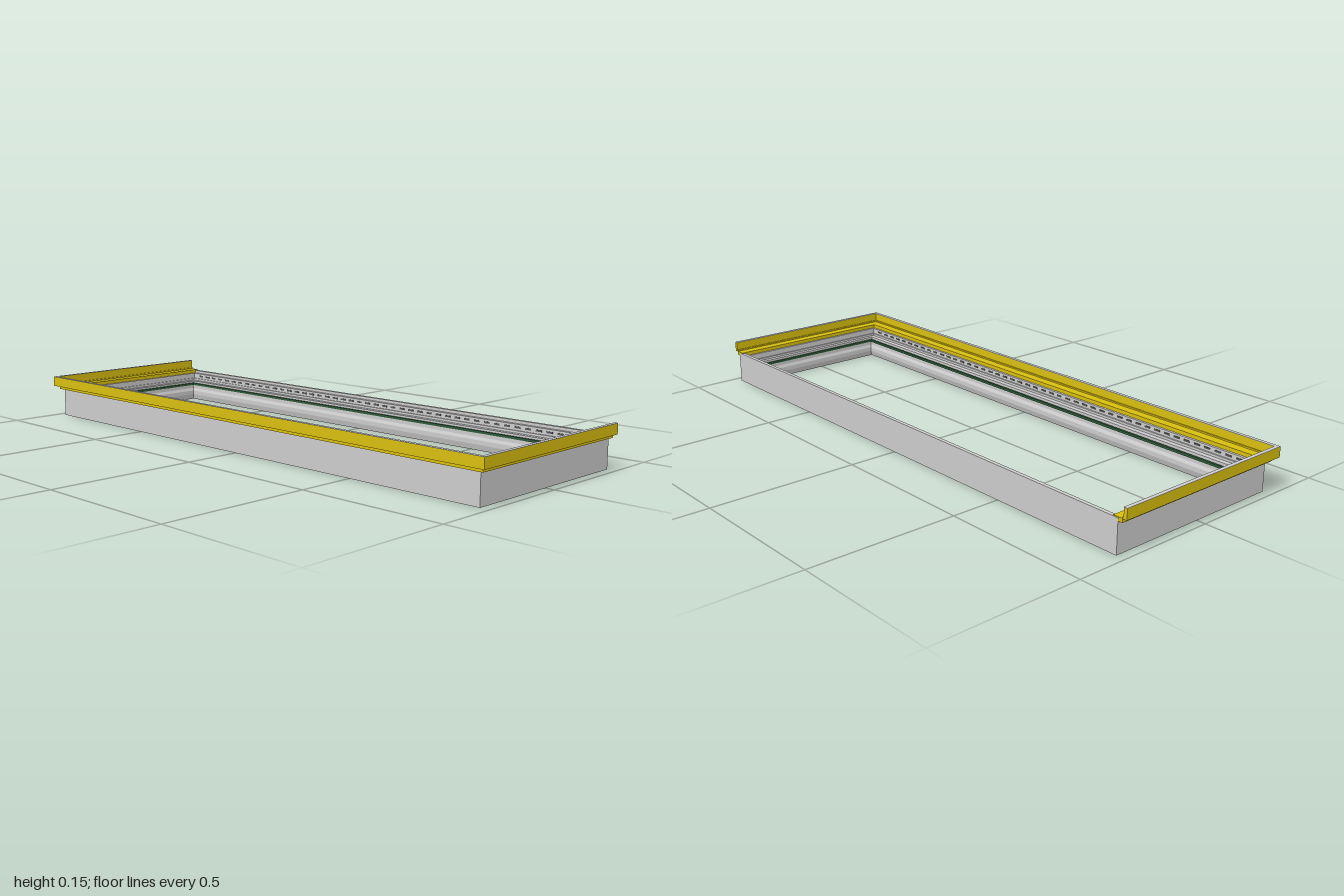
import * as THREE from 'three';

const grey = new THREE.MeshStandardMaterial({ color: 0xcccccc, flatShading: true, side: THREE.DoubleSide });
const yellow = new THREE.MeshStandardMaterial({ color: 0xd8be10, flatShading: true, side: THREE.DoubleSide });
const green = new THREE.MeshStandardMaterial({ color: 0x2f5a38, flatShading: true });
const dark = new THREE.MeshStandardMaterial({ color: 0x555555, flatShading: true });

// Sweep a closed profile through mitred corners; corner(i, u) gives [x, z].
function sweep(name, profile, corner, closed, material) {
  const pos = [];
  const point = (i, j) => {
    const [u, y] = profile[j % profile.length];
    const [x, z] = corner(i % 4, u);
    return [x, y, z];
  };
  for (let i = 0; i < (closed ? 4 : 3); i++) {
    for (let j = 0; j < profile.length; j++) {
      const a = point(i, j), b = point(i + 1, j), c = point(i + 1, j + 1), d = point(i, j + 1);
      pos.push(...a, ...b, ...c, ...a, ...c, ...d);
    }
  }
  // End caps of an open run
  if (!closed) {
    const faces = THREE.ShapeUtils.triangulateShape(profile.map(p => new THREE.Vector2(...p)), []);
    for (const i of [0, 3]) for (const f of faces) for (const j of f) pos.push(...point(i, j));
  }
  const geo = new THREE.BufferGeometry();
  geo.setAttribute('position', new THREE.Float32BufferAttribute(pos, 3));
  geo.computeVertexNormals();
  const mesh = new THREE.Mesh(geo, material);
  mesh.name = name;
  return mesh;
}

// Frame corners: u runs from 0 at the outer wall to 1 at the opening.
const frameCorner = (i, u) => [
  (i < 2 ? -1 : 1) * (0.97 - 0.06 * u),
  i === 1 || i === 2 ? 0.307 - 0.071 * u : -0.333 + 0.06 * u,
];
// Trim corners: u is the distance outward from the frame wall, open at the back.
const trimCorner = (i, u) => [
  (i < 2 ? -1 : 1) * (0.97 + u),
  i === 1 || i === 2 ? 0.304 + u : -0.332,
];

export function createModel() {
  const group = new THREE.Group();
  group.name = 'frameWithTrim';

  // Stepped frame with a sloped inner lip
  group.add(sweep('frame', [
    [0.9, 0], [0, 0], [0, 0.11], [0.22, 0.11], [0.22, 0.1], [0.42, 0.1], [0.42, 0.08],
    [0.5, 0.08], [0.5, 0.072], [0.76, 0.072], [0.76, 0.06], [0.92, 0.06], [0.92, 0.045], [1, 0.035], [1, 0.02],
  ], frameCorner, true, grey));

  // Gasket around the opening
  group.add(sweep('gasket', [
    [0.98, 0.058], [0.86, 0.058], [0.86, 0.066], [0.98, 0.066],
  ], frameCorner, true, green));

  // Three-sided trim: flat ledge, upright and its cap
  group.add(sweep('trimLedge', [
    [-0.018, 0.1], [0.015, 0.1], [0.015, 0.113], [-0.018, 0.113],
  ], trimCorner, false, yellow));
  group.add(sweep('trimUpright', [
    [0.014, 0.112], [0.03, 0.112], [0.03, 0.146], [0.018, 0.146], [0.018, 0.118], [0.014, 0.118],
  ], trimCorner, false, yellow));
  group.add(sweep('trimCap', [
    [0.017, 0.1455], [0.03, 0.1455], [0.03, 0.147], [0.017, 0.147],
  ], trimCorner, false, grey));

  // Row of small slots along the inner long walls
  const slots = new THREE.Group();
  slots.name = 'slots';
  const slotGeo = new THREE.BoxGeometry(0.022, 0.006, 0.002);
  for (const z of [-0.3075, 0.2765]) {
    for (let i = 0; i < 46; i++) {
      const slot = new THREE.Mesh(slotGeo, dark);
      slot.name = 'slot';
      slot.position.set(-0.9 + i * 0.04, 0.09, z);
      slots.add(slot);
    }
  }
  group.add(slots);
  return group;
}
